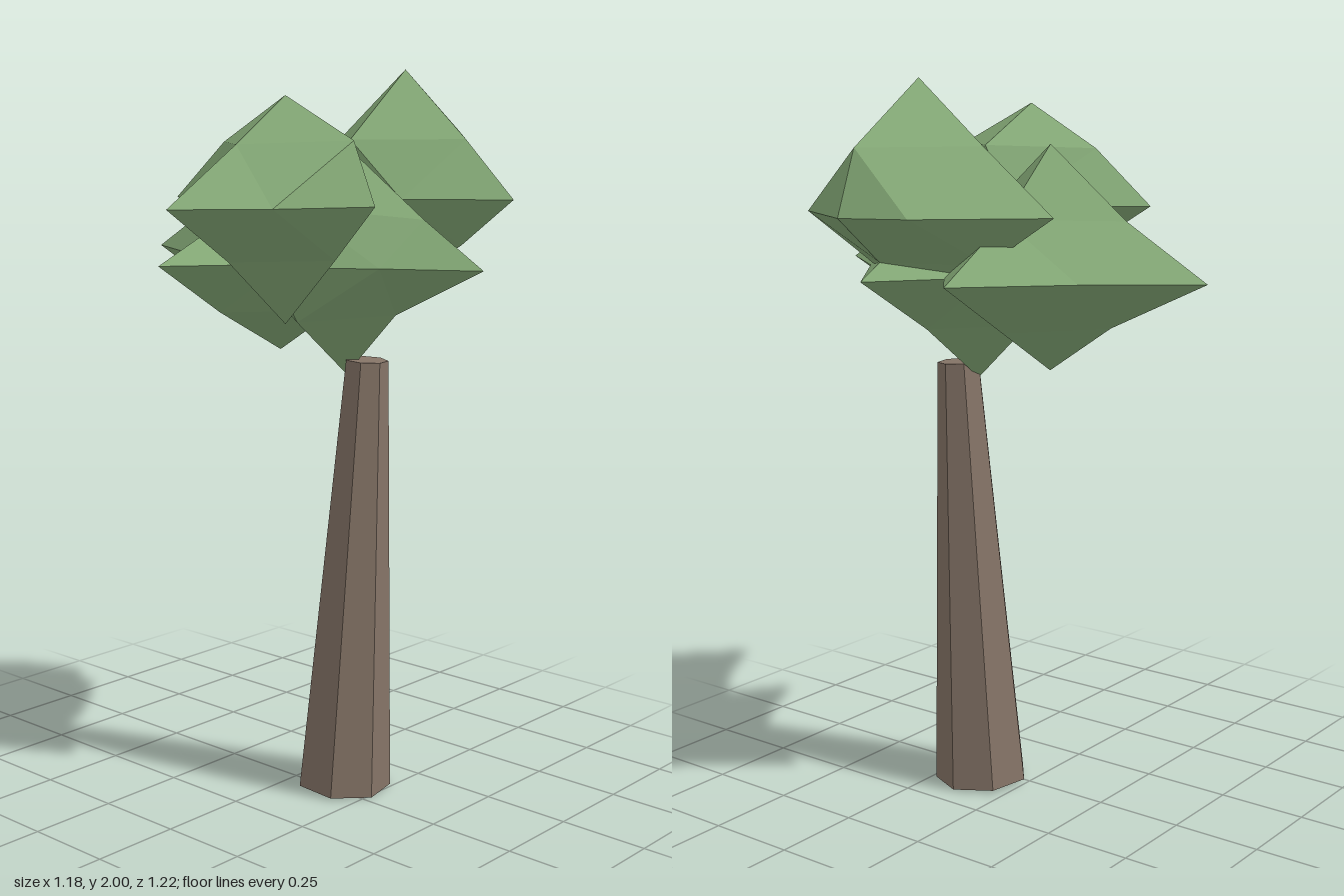
import * as THREE from 'three';

const leafMat = new THREE.MeshStandardMaterial({ color: 0x86ab78, flatShading: true });
const barkMat = new THREE.MeshStandardMaterial({ color: 0x857467, flatShading: true });

// Each clump is an irregular subdivided octahedron about its centre.
// tips: reach along +x -x +y -y +z -z
// xy, yz, xz: reach of the edge midpoints, sign order ++ -+ +- --
const clumps = [
  {
    name: 'backFoliage', at: [0.135, 1.66, -0.295],
    tips: [0.37, 0.43, 0.34, 0.245, 0.22, 0.315],
    xy: [[0.21, 0.155], [0.21, 0.17], [0.2, 0.13], [0.22, 0.13]],
    yz: [[0.155, 0.23], [0.13, 0.14], [0.17, 0.25], [0.12, 0.165]],
    xz: [[0.14, 0.185], [0.27, 0.185], [0.23, 0.18], [0.165, 0.245]],
  },
  {
    name: 'frontFoliage', at: [0.135, 1.66, 0.19],
    tips: [0.3, 0.4, 0.27, 0.315, 0.42, 0.22],
    xy: [[0.23, 0.16], [0.22, 0.15], [0.17, 0.14], [0.135, 0.16]],
    yz: [[0.15, 0.18], [0.14, 0.21], [0.16, 0.21], [0.16, 0.15]],
    xz: [[0.175, 0.235], [0.15, 0.16], [0.15, 0.17], [0.105, 0.23]],
  },
  {
    name: 'rightFoliage', at: [-0.11, 1.495, -0.055],
    tips: [0.4, 0.485, 0.335, 0.265, 0.465, 0.445],
    xy: [[0.2, 0.16], [0.24, 0.145], [0.2, 0.14], [0.195, 0.135]],
    yz: [[0.13, 0.17], [0.14, 0.24], [0.15, 0.2], [0.14, 0.21]],
    xz: [[0.2, 0.2], [0.17, 0.165], [0.2, 0.2], [0.23, 0.2]],
  },
  {
    name: 'leftFoliage', at: [0.135, 1.495, -0.055],
    tips: [0.453, 0.4, 0.3, 0.31, 0.3, 0.477],
    xy: [[0.26, 0.12], [0.2, 0.15], [0.17, 0.135], [0.17, 0.15]],
    yz: [[0.15, 0.2], [0.15, 0.2], [0.15, 0.22], [0.15, 0.22]],
    xz: [[0.22, 0.13], [0.2, 0.2], [0.25, 0.16], [0.2, 0.2]],
  },
];

function makeClump({ name, at, tips, xy, yz, xz }) {
  const geo = new THREE.OctahedronGeometry(1, 1);
  const pos = geo.attributes.position;
  const planes = { '01': xy, '12': yz, '02': xz };
  for (let i = 0; i < pos.count; i++) {
    const v = [pos.getX(i), pos.getY(i), pos.getZ(i)];
    const axes = [0, 1, 2].filter((a) => Math.abs(v[a]) > 0.01);
    const out = [0, 0, 0];
    if (axes.length === 1) {
      const a = axes[0];
      out[a] = Math.sign(v[a]) * tips[a * 2 + (v[a] < 0 ? 1 : 0)];
    } else {
      const [a, b] = axes;
      const reach = planes[`${a}${b}`][(v[a] < 0 ? 1 : 0) + (v[b] < 0 ? 2 : 0)];
      out[a] = Math.sign(v[a]) * reach[0];
      out[b] = Math.sign(v[b]) * reach[1];
    }
    pos.setXYZ(i, ...out);
  }
  geo.computeVertexNormals();
  const mesh = new THREE.Mesh(geo, leafMat);
  mesh.name = name;
  mesh.position.set(...at);
  return mesh;
}

// Seven-sided tapered trunk leaning from its foot to its top
function makeTrunk() {
  const foot = new THREE.Vector3(0.133, 0.009, -0.053);
  const top = new THREE.Vector3(0.19, 1.228, -0.073);
  const axis = top.clone().sub(foot);
  const geo = new THREE.CylinderGeometry(0.06, 0.134, axis.length(), 7, 1, false, Math.PI);
  const mesh = new THREE.Mesh(geo, barkMat);
  mesh.name = 'trunk';
  mesh.position.copy(foot).add(top).multiplyScalar(0.5);
  mesh.quaternion.setFromUnitVectors(new THREE.Vector3(0, 1, 0), axis.normalize());
  return mesh;
}

export function createModel() {
  const tree = new THREE.Group();
  tree.name = 'tree';
  tree.add(makeTrunk());
  const crown = new THREE.Group();
  crown.name = 'crown';
  for (const clump of clumps) crown.add(makeClump(clump));
  tree.add(crown);
  return tree;
}
